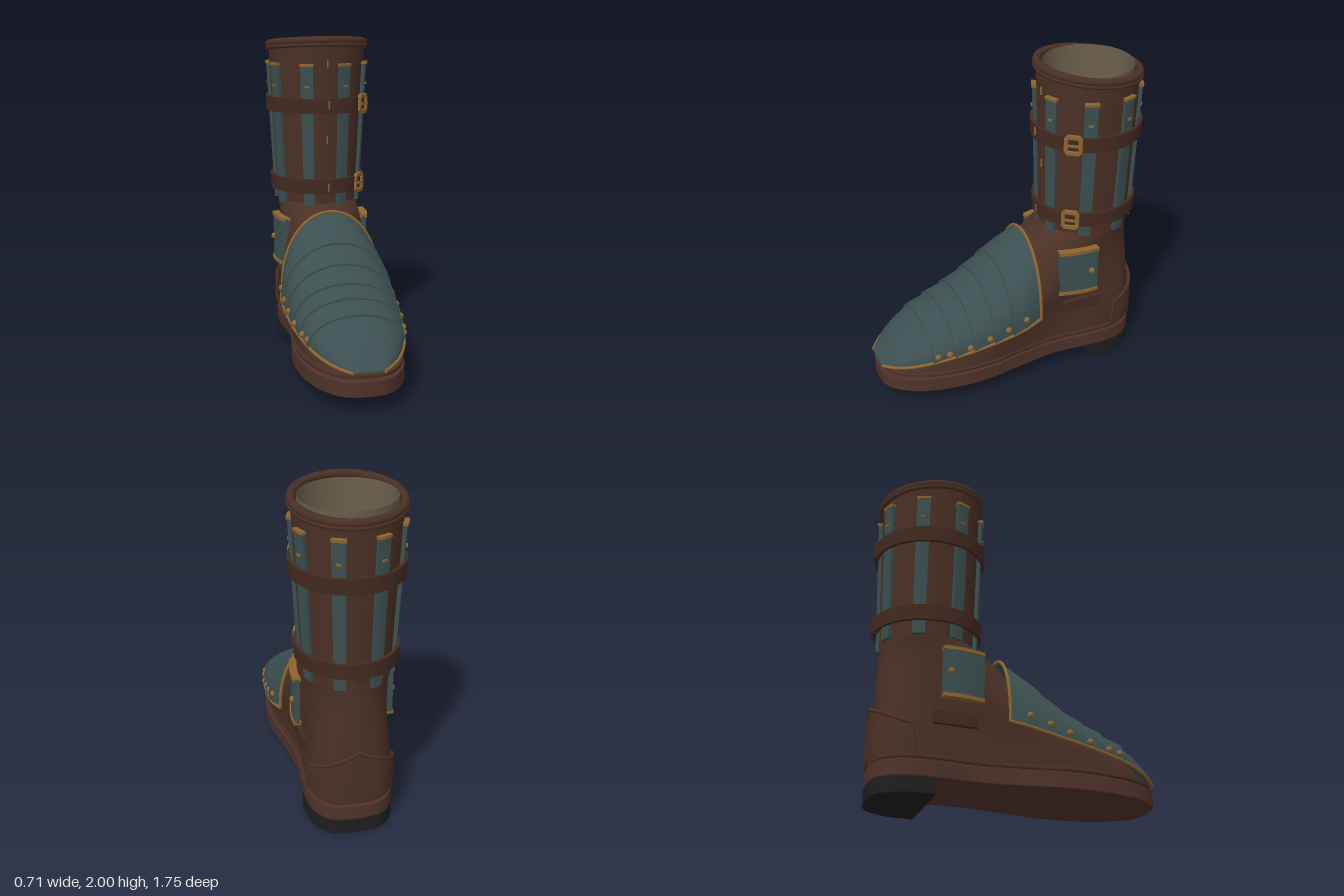
import * as THREE from 'three';

const mat = (name, color) => new THREE.MeshStandardMaterial({ name, color, side: THREE.DoubleSide });
const leather = mat('brown leather', 0x4a3025);
const strapLeather = mat('strap leather', 0x432a20);
const soleLeather = mat('sole leather', 0x50322a);
const steel = mat('blue grey plate', 0x3c4f50);
const brass = mat('aged brass', 0x8c6430);
const rubber = mat('black rubber', 0x1e1e1f);
const cloth = mat('lining cloth', 0x6a5e4b);

const V = (x, y, z) => new THREE.Vector3(x, y, z);
const lerp = THREE.MathUtils.lerp;

// Linear lookup in a short table of [key, value] rows
function look(table, v) {
  if (v <= table[0][0]) return table[0][1];
  for (let i = 1; i < table.length; i++) {
    const [a, p] = table[i - 1], [b, q] = table[i];
    if (v <= b) return lerp(p, q, (v - a) / (b - a));
  }
  return table[table.length - 1][1];
}

// Surface through a grid of points fn(i, j)
function grid(nu, nv, fn) {
  const pos = [], idx = [];
  for (let j = 0; j <= nv; j++) for (let i = 0; i <= nu; i++) pos.push(...fn(i / nu, j / nv).toArray());
  for (let j = 0; j < nv; j++) for (let i = 0; i < nu; i++) {
    const a = j * (nu + 1) + i, b = a + 1, c = a + nu + 1, d = c + 1;
    idx.push(a, b, c, b, d, c);
  }
  const g = new THREE.BufferGeometry();
  g.setAttribute('position', new THREE.Float32BufferAttribute(pos, 3));
  g.setIndex(idx);
  g.computeVertexNormals();
  return g;
}

// Sole outline: heel at t = 0, toe at t = 0.5
const half = [[0, -0.835], [0.15, -0.81], [0.235, -0.7], [0.255, -0.5], [0.24, -0.25], [0.27, 0],
  [0.31, 0.25], [0.3, 0.5], [0.24, 0.71], [0.13, 0.845], [0, 0.87]];
const outline = new THREE.CatmullRomCurve3(
  [...half, ...half.slice(1, -1).reverse().map(([x, z]) => [-x, z])].map(([x, z]) => V(x, 0, z)), true);

// Foot skin: sole outline blending upward into the ankle ellipse
const footFront = [[0.19, 0.83], [0.26, 0.79], [0.35, 0.7], [0.42, 0.6], [0.5, 0.4], [0.59, 0.22],
  [0.67, 0.1], [0.77, 0], [0.88, -0.12], [0.95, -0.24]];
function footPoint(t, y, grow = 1) {
  const p = outline.getPoint(((t % 1) + 1) % 1);
  const u = THREE.MathUtils.clamp((p.z + 0.835) / 1.705, 0, 1);
  const k = THREE.MathUtils.smoothstep(y, 0.3, 0.95);
  const back = lerp(-0.82, -0.8, k);
  const x = lerp(p.x * 0.95, Math.sign(p.x) * 0.5 * Math.sqrt(u * (1 - u)), k);
  const z = lerp(back, look(footFront, y), u);
  return V(x * grow, y, (z + 0.5) * grow - 0.5);
}

// Shaft skin: angle 0 faces the front
function shaftPoint(a, y, off = 0) {
  const k = (y - 0.94) / 0.98;
  return V((lerp(0.25, 0.305, k) + off) * Math.sin(a), y, -0.52 + (lerp(0.28, 0.305, k) + off) * Math.cos(a));
}

// Box bent round the shaft
function wrapBox(a, y, w, h, d, off, nx = 4) {
  const g = new THREE.BoxGeometry(w, h, d, nx, 4, 1), p = g.attributes.position;
  for (let i = 0; i < p.count; i++) {
    const q = shaftPoint(a + p.getX(i) / 0.3, y + p.getY(i), off + p.getZ(i));
    p.setXYZ(i, q.x, q.y, q.z);
  }
  g.computeVertexNormals();
  return g;
}

// Toe armour section: lower edge, crown and half width along z
const edgeY = [[-0.1, 0.45], [0.1, 0.4], [0.33, 0.355], [0.6, 0.305], [0.75, 0.27], [0.87, 0.238]];
const crownY = [[-0.1, 0.925], [0.1, 0.765], [0.22, 0.665], [0.35, 0.585], [0.47, 0.53], [0.6, 0.47],
  [0.68, 0.425], [0.76, 0.365], [0.82, 0.305], [0.87, 0.245]];
const plateW = [[-0.1, 0.305], [0, 0.328], [0.1, 0.333], [0.22, 0.33], [0.35, 0.32], [0.47, 0.303],
  [0.6, 0.275], [0.7, 0.235], [0.78, 0.185], [0.84, 0.125], [0.87, 0.085]];
function toePoint(a, z, off = 0) {
  const b = look(edgeY, z), w = look(plateW, z) + off, h = look(crownY, z) - b + off;
  return V(w * Math.sin(a), b + h * Math.pow(Math.max(0, Math.cos(a)), 0.9), z);
}

export function createModel() {
  const model = new THREE.Group();
  const add = (name, geo, material, parent = model) => {
    const m = new THREE.Mesh(geo, material);
    m.name = name;
    parent.add(m);
    return m;
  };
  const tube = (name, pts, r, material, closed = false) =>
    add(name, new THREE.TubeGeometry(new THREE.CatmullRomCurve3(pts, closed), pts.length * 3, r, 8, closed), material);
  const range = (n, fn) => Array.from({ length: n }, (_, i) => fn(i));

  // Sole layers and heel block
  const slab = (name, pts, y, h, material) => {
    const g = new THREE.ExtrudeGeometry(new THREE.Shape(pts), { depth: h - 0.012, bevelEnabled: true,
      bevelThickness: 0.006, bevelSize: 0.006, bevelOffset: -0.006, bevelSegments: 2 });
    g.rotateX(-Math.PI / 2).translate(0, y + 0.006, 0);
    add(name, g, material);
  };
  const solePts = range(80, i => outline.getPoint(i / 80)).map(p => new THREE.Vector2(p.x, -p.z));
  slab('midsole', solePts, 0.095, 0.095, soleLeather);
  slab('welt', solePts.map(p => p.clone().multiplyScalar(0.985)), 0.2, 0.024, leather);
  const heelPts = solePts.filter(p => p.y > 0.44);
  slab('heelBlock', heelPts, 0, 0.097, rubber);

  // Foot, shaft, lining and rim
  add('footUpper', grid(80, 30, (u, v) => footPoint(u, lerp(0.19, 0.95, v))), leather);
  const topY = a => 1.94 + 0.032 * Math.cos(a);
  add('shaft', grid(64, 12, (u, v) => shaftPoint(u * 2 * Math.PI, lerp(0.93, topY(u * 2 * Math.PI), v))), leather);
  add('lining', grid(64, 6, (u, v) => shaftPoint(u * 2 * Math.PI, lerp(1.2, 1.96, v), -0.035)), cloth);
  const ring = off => range(32, i => {
    const a = i * Math.PI / 16, p = shaftPoint(a, 1.92, off);
    p.y = topY(a);
    return p;
  });
  tube('rim', ring(-0.004), 0.025, leather, true);
  tube('rimPiping', ring(0.008).map(p => p.setY(p.y - 0.025)), 0.013, leather, true);

  // Heel counter with a raised seam
  const counterTop = t => lerp(0.54, 0.39, Math.abs(t) / 0.12);
  const counter = (t, v, g) => footPoint(t, lerp(0.22, counterTop(t), v), g);
  add('heelCounter', grid(32, 8, (u, v) => counter(lerp(-0.12, 0.12, u), v, 1.07)), leather);
  tube('counterSeam', [
    ...range(5, i => counter(-0.12, i / 4, 1.055)),
    ...range(15, i => counter(lerp(-0.11, 0.11, i / 14), 1, 1.055)),
    ...range(5, i => counter(0.12, 1 - i / 4, 1.055))], 0.011, leather);

  // Overlapping toe plates, each flared at its front edge
  const cuts = [-0.1, 0.1, 0.22, 0.35, 0.47, 0.6, 0.87];
  for (let i = 0; i < 6; i++) {
    const last = i === 5;
    add('toePlate', grid(40, 12, (u, v) => toePoint((u - 0.5) * Math.PI, lerp(cuts[i], cuts[i + 1], v),
      last ? 0 : 0.012 * v)), steel);
    if (!last) add('plateLip', grid(40, 1, (u, v) => toePoint((u - 0.5) * Math.PI, cuts[i + 1], 0.012 * v)), steel);
  }
  add('toeTip', grid(16, 1, (u, v) => {
    const p = toePoint((u - 0.5) * Math.PI, 0.87);
    return v ? p : p.setY(0.237);
  }), steel);
  tube('plateRearTrim', range(25, i => toePoint((i / 24 - 0.5) * Math.PI, -0.1, 0.002)), 0.01, brass);

  const ball = new THREE.SphereGeometry(0.02, 12, 8);
  for (const s of [-1, 1]) {
    tube('plateEdgeTrim', range(20, i => toePoint(s * Math.PI / 2, lerp(-0.1, 0.868, i / 19), 0.003)), 0.01, brass);
    for (const [z, y] of [[0.57, 0.345], [0.5, 0.355], [0.375, 0.38], [0.25, 0.415], [0.13, 0.45], [0.01, 0.49]]) {
      const h = (y - look(edgeY, z)) / (look(crownY, z) - look(edgeY, z));
      const p = toePoint(s * Math.acos(Math.pow(h, 1 / 0.9)), z, 0.004);
      add('plateRivet', ball, brass).position.copy(p);
    }

    // Ankle guard, curved along its length
    const guard = (name, y, h, d, material) => {
      const g = new THREE.BoxGeometry(d, h, 0.25, 1, 1, 10).translate(0, y, -0.365), p = g.attributes.position;
      for (let i = 0; i < p.count; i++) p.setX(i, p.getX(i) + s * (0.28 - 0.8 * (p.getZ(i) + 0.44) ** 2));
      g.computeVertexNormals();
      add(name, g, material);
    };
    guard('ankleGuard', 0.71, 0.29, 0.03, steel);
    guard('ankleGuardTrim', 0.855, 0.022, 0.045, brass);
    guard('ankleGuardTrim', 0.568, 0.022, 0.045, brass);
    add('ankleRivet', ball, brass).position.set(s * 0.297, 0.71, -0.445);
    add('sideTab', new THREE.BoxGeometry(0.03, 0.075, 0.26), strapLeather).position.set(s * 0.247, 0.445, -0.4);
  }

  // Eight splints with brass caps and pins
  for (let i = 0; i < 8; i++) {
    const a = (i + 0.5) * Math.PI / 4;
    add('splint', wrapBox(a, 1.38, 0.075, 0.88, 0.022, 0.012), steel);
    add('splintCap', wrapBox(a, 1.82, 0.08, 0.016, 0.03, 0.014), brass);
    for (const y of [1.69, 1.08]) add('splintPin', wrapBox(a, y, 0.026, 0.012, 0.012, 0.026), brass);
  }

  // Straps, rear keepers and buckles
  const frame = new THREE.Shape([[-0.052, -0.04], [-0.035, -0.06], [0.035, -0.06], [0.052, -0.04],
    [0.052, 0.04], [0.035, 0.06], [-0.035, 0.06], [-0.052, 0.04]].map(p => new THREE.Vector2(...p)));
  frame.holes.push(new THREE.Path([[-0.034, -0.04], [-0.034, 0.04], [0.034, 0.04], [0.034, -0.04]]
    .map(p => new THREE.Vector2(...p))));
  const frameGeo = new THREE.ExtrudeGeometry(frame, { depth: 0.014, bevelEnabled: true,
    bevelThickness: 0.004, bevelSize: 0.003, bevelSegments: 2 });
  for (const y of [1.57, 1.065]) {
    add('strap', wrapBox(0, y, 0.6 * Math.PI, 0.092, 0.02, 0.03, 64), strapLeather);
    add('strapKeeper', wrapBox(Math.PI, y, 0.045, 0.11, 0.03, 0.04), strapLeather);
    const buckle = new THREE.Group(), a = 0.89;
    buckle.name = 'buckle';
    buckle.position.copy(shaftPoint(a, y, 0.034));
    buckle.rotation.y = a;
    add('buckleFrame', frameGeo, brass, buckle);
    add('bucklePin', new THREE.BoxGeometry(0.09, 0.012, 0.012), brass, buckle).position.set(0, 0, 0.018);
    model.add(buckle);
  }

  // Small stitches down the front seam
  for (const [y, off] of [[1.83, 0.003], [1.58, 0.042], [1.36, 0.003], [1.06, 0.042]])
    add('frontStitch', wrapBox(0.03, y, 0.008, 0.05, 0.01, off), brass);

  return model;
}
